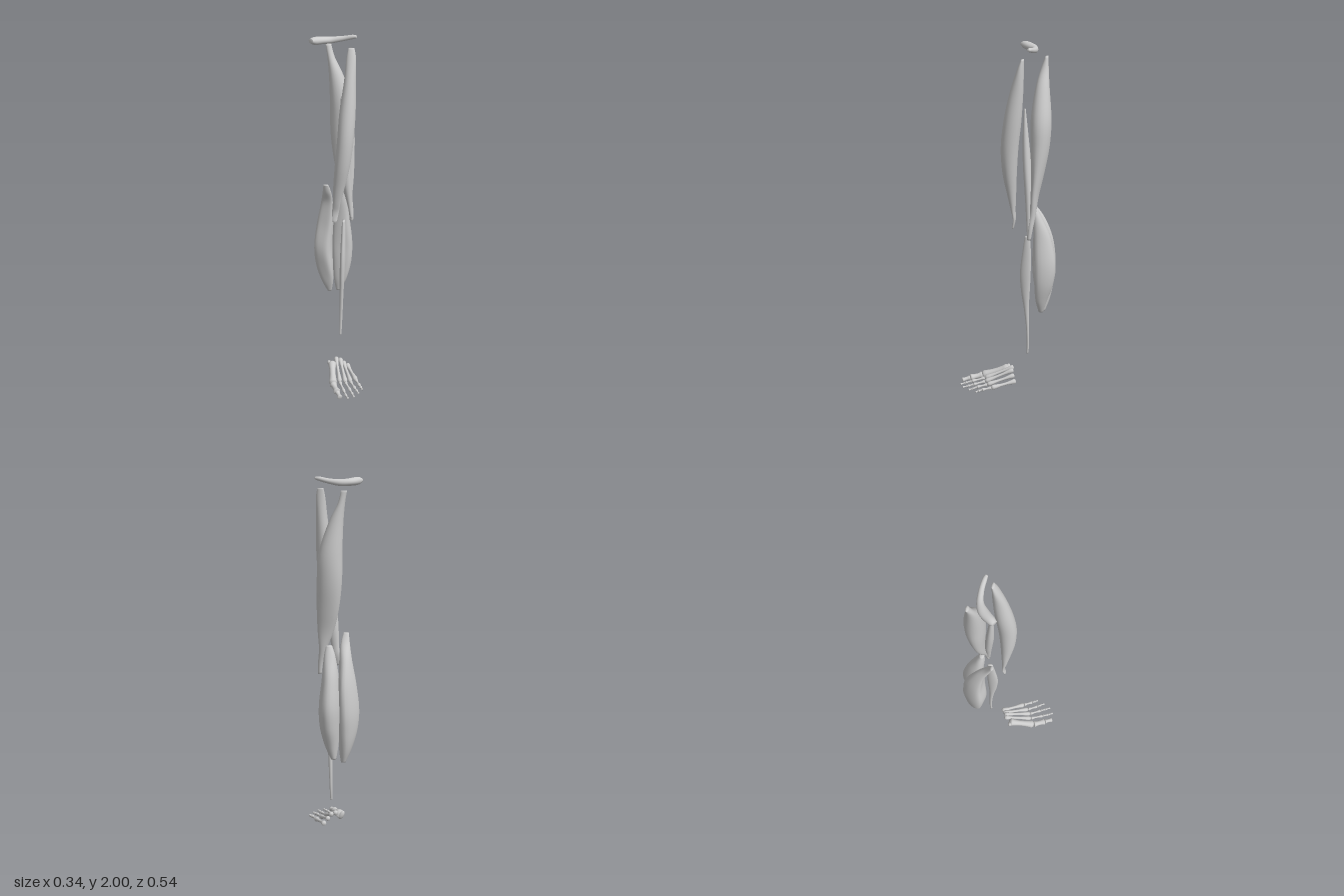
import * as THREE from 'three';

const material = new THREE.MeshStandardMaterial({ color: 0xcccccc });
const V = (x, y, z) => new THREE.Vector3(x, y, z);

// Closed skin over rings; frame(i) gives the two ring axes, rings holds [x, y, z, ru, rv, bow, twist].
function loft(name, stations, frame, steps = 36, sides = 20) {
  const rows = [];
  const n = stations.length - 1;
  const at = (i, k) => stations[Math.min(Math.max(i, 0), n)][k] || 0;
  for (let s = 0; s <= steps; s++) {
    const f = (s / steps) * n, i = Math.min(Math.floor(f), n - 1), t = f - i;
    const row = [];
    for (let k = 0; k < 7; k++) {
      const a = at(i - 1, k), b = at(i, k), c = at(i + 1, k), d = at(i + 2, k);
      row.push(b + 0.5 * t * (c - a + t * (2 * a - 5 * b + 4 * c - d + t * (3 * (b - c) + d - a))));
    }
    rows.push(row);
  }
  const pos = [], index = [];
  rows.forEach((r, s) => {
    const [u, v] = frame(rows, s);
    const cu = Math.cos(r[6]), su = Math.sin(r[6]);
    for (let j = 0; j < sides; j++) {
      const a = (j / sides) * Math.PI * 2;
      const p = r[3] * Math.cos(a), q = r[4] * Math.sin(a) + r[5] * (Math.cos(a) ** 2 - 0.5);
      const pt = V(r[0], r[1], r[2]).addScaledVector(u, p * cu - q * su).addScaledVector(v, p * su + q * cu);
      pos.push(pt.x, pt.y, pt.z);
    }
  });
  for (let s = 0; s < steps; s++) for (let j = 0; j < sides; j++) {
    const a = s * sides + j, b = s * sides + (j + 1) % sides;
    index.push(a, b, a + sides, b, b + sides, a + sides);
  }
  // end caps
  [0, steps].forEach((s, end) => {
    const c = pos.length / 3;
    pos.push(rows[s][0], rows[s][1], rows[s][2]);
    for (let j = 0; j < sides; j++) {
      const a = s * sides + j, b = s * sides + (j + 1) % sides;
      if (end) index.push(c, a, b); else index.push(c, b, a);
    }
  });
  const g = new THREE.BufferGeometry();
  g.setAttribute('position', new THREE.Float32BufferAttribute(pos, 3));
  g.setIndex(index);
  g.computeVertexNormals();
  const mesh = new THREE.Mesh(g, material);
  mesh.name = name;
  return mesh;
}

// Muscles hang downwards with level rings.
const level = () => [V(1, 0, 0), V(0, 0, 1)];
const muscle = (name, stations) => loft(name, stations, level);

// The collar bone runs sideways with upright rings.
const upright = (rows, s) => {
  const a = rows[Math.max(s - 1, 0)], b = rows[Math.min(s + 1, rows.length - 1)];
  const t = V(b[0] - a[0], 0, b[2] - a[2]).normalize();
  return [V(0, 1, 0), t.cross(V(0, 1, 0))];
};

// Bone with a thick base, slim shaft and rounded head.
function bone(name, a, b, r, waist = 0.55) {
  const d = b.clone().sub(a), len = d.length();
  const profile = [[0, 0], [0.75, 0.01], [1, 0.07], [0.85, 0.16], [waist, 0.35], [waist, 0.6],
    [0.85, 0.82], [0.95, 0.91], [0.7, 0.98], [0, 1]];
  const g = new THREE.LatheGeometry(profile.map(([x, y]) => new THREE.Vector2(x * r, y * len)), 14);
  const mesh = new THREE.Mesh(g, material);
  mesh.name = name;
  mesh.position.copy(a);
  mesh.quaternion.setFromUnitVectors(V(0, 1, 0), d.normalize());
  return mesh;
}

export function createModel() {
  const model = new THREE.Group();
  model.name = 'legMuscles';

  model.add(loft('collarBone', [
    [-0.155, 1.975, -0.04, 0.012, 0.016],
    [-0.14, 1.972, -0.062, 0.021, 0.023],
    [-0.105, 1.968, -0.105, 0.02, 0.026],
    [-0.06, 1.966, -0.131, 0.018, 0.018],
    [0, 1.974, -0.138, 0.014, 0.014],
    [0.05, 1.985, -0.134, 0.012, 0.012],
    [0.073, 1.988, -0.129, 0.007, 0.008],
  ], upright));

  model.add(muscle('frontThighMuscle', [
    [0.052, 1.935, -0.095, 0.016, 0.007],
    [0.053, 1.88, -0.083, 0.026, 0.018],
    [0.05, 1.76, -0.062, 0.032, 0.036],
    [0.042, 1.6, -0.038, 0.044, 0.048],
    [0.034, 1.45, -0.02, 0.045, 0.048],
    [0.018, 1.3, -0.016, 0.042, 0.039],
    [-0.002, 1.17, -0.022, 0.032, 0.024],
    [-0.015, 1.08, -0.027, 0.022, 0.013],
    [-0.023, 1.02, -0.032, 0.019, 0.007],
    [-0.026, 0.965, -0.022, 0.012, 0.005],
  ]));

  model.add(muscle('rearThighMuscle', [
    [-0.09, 1.93, -0.19, 0.016, 0.008],
    [-0.074, 1.86, -0.182, 0.02, 0.022],
    [-0.045, 1.76, -0.178, 0.04, 0.039],
    [-0.016, 1.6, -0.18, 0.064, 0.055],
    [-0.01, 1.45, -0.177, 0.068, 0.05],
    [0, 1.3, -0.168, 0.06, 0.033],
    [0.014, 1.18, -0.156, 0.044, 0.021],
    [0.03, 1.08, -0.149, 0.022, 0.018],
    [0.045, 1.0, -0.141, 0.014, 0.014],
    [0.05, 0.937, -0.135, 0.01, 0.01],
  ]));

  model.add(muscle('innerThighMuscle', [
    [0, 1.66, -0.095, 0.005, 0.004],
    [0.003, 1.52, -0.1, 0.018, 0.015],
    [0.008, 1.36, -0.11, 0.028, 0.022],
    [0.02, 1.2, -0.123, 0.026, 0.021],
    [0.036, 1.07, -0.13, 0.016, 0.016],
    [0.05, 0.95, -0.134, 0.008, 0.01],
  ]));

  // Calf heads, hollowed on the side that faces the shin.
  model.add(muscle('innerCalfMuscle', [
    [-0.086, 1.16, -0.08, 0.014, 0.007],
    [-0.085, 1.11, -0.103, 0.024, 0.016],
    [-0.092, 1.03, -0.145, 0.034, 0.03, 0.015],
    [-0.104, 0.9, -0.17, 0.046, 0.053, 0.03, 0.2],
    [-0.116, 0.75, -0.172, 0.05, 0.068, 0.03, 0.25],
    [-0.11, 0.63, -0.175, 0.048, 0.055, 0.025, 0.2],
    [-0.098, 0.53, -0.182, 0.034, 0.034, 0.012],
    [-0.088, 0.458, -0.188, 0.012, 0.01],
  ]));

  model.add(muscle('outerCalfMuscle', [
    [-0.005, 1.1, -0.155, 0.016, 0.012],
    [-0.01, 1.04, -0.168, 0.032, 0.028],
    [-0.016, 0.93, -0.188, 0.046, 0.047, 0.015],
    [-0.014, 0.78, -0.202, 0.059, 0.058, 0.025],
    [-0.014, 0.66, -0.198, 0.055, 0.052, 0.02],
    [-0.023, 0.55, -0.187, 0.038, 0.032, 0.01],
    [-0.035, 0.472, -0.186, 0.014, 0.014],
  ]));

  model.add(muscle('shinMuscle', [
    [0.008, 0.94, -0.115, 0.008, 0.014],
    [0.008, 0.86, -0.112, 0.012, 0.023],
    [0.006, 0.72, -0.104, 0.015, 0.031],
    [0.002, 0.6, -0.104, 0.014, 0.025],
    [-0.002, 0.5, -0.109, 0.012, 0.015],
    [-0.006, 0.38, -0.116, 0.01, 0.009],
    [-0.009, 0.27, -0.118, 0.008, 0.007],
    [-0.01, 0.21, -0.115, 0.006, 0.005],
  ]));

  // Foot rays from the big toe outwards: joints from base to tip, then thickness.
  const rays = [
    [[[-0.037, 0.085, 0.005], [-0.003, 0.032, 0.155], [0.033, 0.022, 0.22], [0.057, 0.013, 0.262]], 0.025],
    [[[-0.02, 0.103, -0.03], [0.032, 0.033, 0.13], [0.068, 0.02, 0.2], [0.085, 0.014, 0.232], [0.102, 0.009, 0.258]], 0.014],
    [[[0.003, 0.095, -0.035], [0.063, 0.028, 0.12], [0.1, 0.018, 0.18], [0.117, 0.013, 0.208], [0.132, 0.009, 0.235]], 0.014],
    [[[0.02, 0.07, -0.045], [0.09, 0.024, 0.1], [0.122, 0.017, 0.152], [0.138, 0.012, 0.172], [0.152, 0.009, 0.193]], 0.014],
    [[[0.04, 0.045, -0.06], [0.115, 0.021, 0.068], [0.143, 0.016, 0.115], [0.155, 0.012, 0.132], [0.165, 0.009, 0.147]], 0.015],
  ];
  const foot = new THREE.Group();
  foot.name = 'footBones';
  rays.forEach(([joints, r], k) => {
    const ray = new THREE.Group();
    ray.name = 'toeRay' + (k + 1);
    for (let i = 0; i + 1 < joints.length; i++) {
      const size = k === 0 ? [1, 0.85, 0.62][i] : [1, 0.72, 0.62, 0.52][i];
      ray.add(bone(i ? 'toeBone' : 'longFootBone', V(...joints[i]), V(...joints[i + 1]), r * size, k ? 0.55 : 0.7));
    }
    foot.add(ray);
  });
  // Wedge-shaped spur beside the big toe's base
  const spur = new THREE.Mesh(new THREE.SphereGeometry(1, 14, 10), material);
  spur.name = 'baseSpur';
  spur.scale.set(0.014, 0.028, 0.013);
  spur.position.set(-0.046, 0.075, 0.01);
  spur.rotation.z = 0.5;
  foot.add(spur);
  model.add(foot);
  return model;
}
